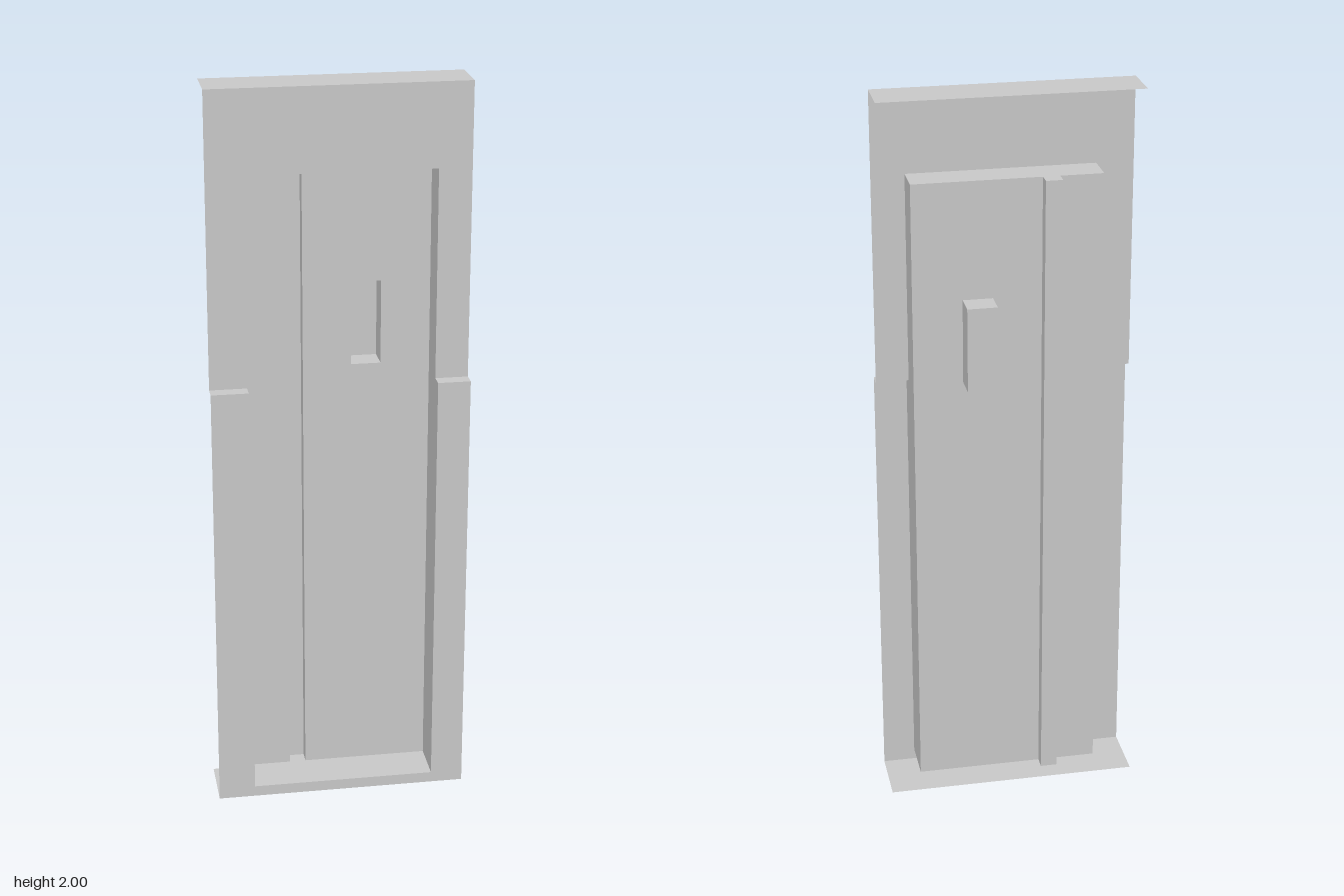
import * as THREE from 'three';

const X0 = -0.345, X1 = 0.345;          // outer frame
const L = -0.245, R = 0.257;            // opening
const SILL = 0.03, HEAD = 1.775, LEDGE = 1.205;
const ZU = 0.059, ZL = 0.097, ZB = -0.068;
const G0 = -0.13, G1 = -0.085, GD = 0.036; // groove
const H = { x0: 0.045, x1: 0.125, y0: 1.225, y1: 1.455, z: -0.099 }; // grip recess

const material = new THREE.MeshStandardMaterial({
  color: 0xcccccc, side: THREE.DoubleSide, flatShading: true,
});

// The door leaf leans back slightly towards the top
const doorZ = (y) => -0.024 - 0.008 * (y - SILL) / (HEAD - SILL);

// Flat polygons, each a fan from its first corner
function faces(name, polygons) {
  const pos = [];
  for (const p of polygons) {
    for (let i = 1; i < p.length - 1; i++) pos.push(...p[0], ...p[i], ...p[i + 1]);
  }
  const g = new THREE.BufferGeometry();
  g.setAttribute('position', new THREE.Float32BufferAttribute(pos, 3));
  g.computeVertexNormals();
  const mesh = new THREE.Mesh(g, material);
  mesh.name = name;
  return mesh;
}

// Flat outline in x and y with an optional hole; depth follows a rule of y
function sheet(name, outline, hole, zAt) {
  const toV = (a) => a.map(([x, y]) => new THREE.Vector2(x, y));
  const shape = new THREE.Shape(toV(outline));
  if (hole) shape.holes.push(new THREE.Path(toV(hole)));
  const g = new THREE.ShapeGeometry(shape);
  const p = g.attributes.position;
  for (let i = 0; i < p.count; i++) p.setZ(i, zAt(p.getY(i)));
  g.computeVertexNormals();
  const mesh = new THREE.Mesh(g, material);
  mesh.name = name;
  return mesh;
}

const rect = (x0, y0, x1, y1) => [[x0, y0], [x1, y0], [x1, y1], [x0, y1]];
const level = (x0, x1, y, z0, z1) => [[x0, y, z0], [x1, y, z0], [x1, y, z1], [x0, y, z1]];

export function createModel() {
  const model = new THREE.Group();
  model.name = 'doorway';

  // Frame front: upper wall set back, lower wall standing proud
  model.add(sheet('upperFrame', [[X0, LEDGE], [L, LEDGE], [L, HEAD], [R, HEAD],
    [R, LEDGE], [X1, LEDGE], [X1, 2], [X0, 2]], null, () => ZU));
  model.add(sheet('lowerFrame', [[X0, 0], [X1, 0], [X1, LEDGE], [R, LEDGE],
    [R, SILL], [L, SILL], [L, LEDGE], [X0, LEDGE]], null, () => ZL));
  model.add(faces('frameLedges', [
    level(X0, L, LEDGE, ZL, ZU), level(R, X1, LEDGE, ZL, ZU)]));

  // Top and bottom plates
  model.add(faces('topPlate', [level(X0, X1, 2, ZU, ZB)]));
  model.add(faces('bottomPlate', [level(X0, X1, 0, ZL, ZB)]));

  // Walls lining the opening
  for (const [name, x] of [['rightJamb', L], ['leftJamb', R]]) {
    model.add(faces(name, [[
      [x, LEDGE, ZU], [x, LEDGE, ZL], [x, SILL, ZL],
      [x, SILL, doorZ(SILL)], [x, HEAD, doorZ(HEAD)], [x, HEAD, ZU]]]));
  }
  model.add(faces('sill', [level(L, R, SILL, ZL, doorZ(SILL))]));
  model.add(faces('head', [level(L, R, HEAD, doorZ(HEAD), ZU)]));

  // Door leaf on both sides of the groove
  const door = new THREE.Group();
  door.name = 'door';
  door.add(sheet('narrowPanel', rect(L, SILL, G0, HEAD), null, doorZ));
  door.add(sheet('widePanel', rect(G1, SILL, R, HEAD),
    rect(H.x0, H.y0, H.x1, H.y1), doorZ));

  // Groove: two sides, a back and end caps
  const strip = (xa, da, xb, db) => [
    [xa, SILL, doorZ(SILL) - da], [xb, SILL, doorZ(SILL) - db],
    [xb, HEAD, doorZ(HEAD) - db], [xa, HEAD, doorZ(HEAD) - da]];
  door.add(faces('groove', [
    strip(G0, 0, G0, GD), strip(G0, GD, G1, GD), strip(G1, GD, G1, 0),
    ...[SILL, HEAD].map((y) => level(G0, G1, y, doorZ(y), doorZ(y) - GD))]));

  // Grip recess: four walls and a back
  const corners = rect(H.x0, H.y0, H.x1, H.y1);
  const walls = corners.map(([x, y], i) => {
    const [u, v] = corners[(i + 1) % 4];
    return [[x, y, doorZ(y)], [u, v, doorZ(v)], [u, v, H.z], [x, y, H.z]];
  });
  door.add(faces('gripRecess', [...walls, corners.map(([x, y]) => [x, y, H.z])]));
  model.add(door);

  return model;
}
